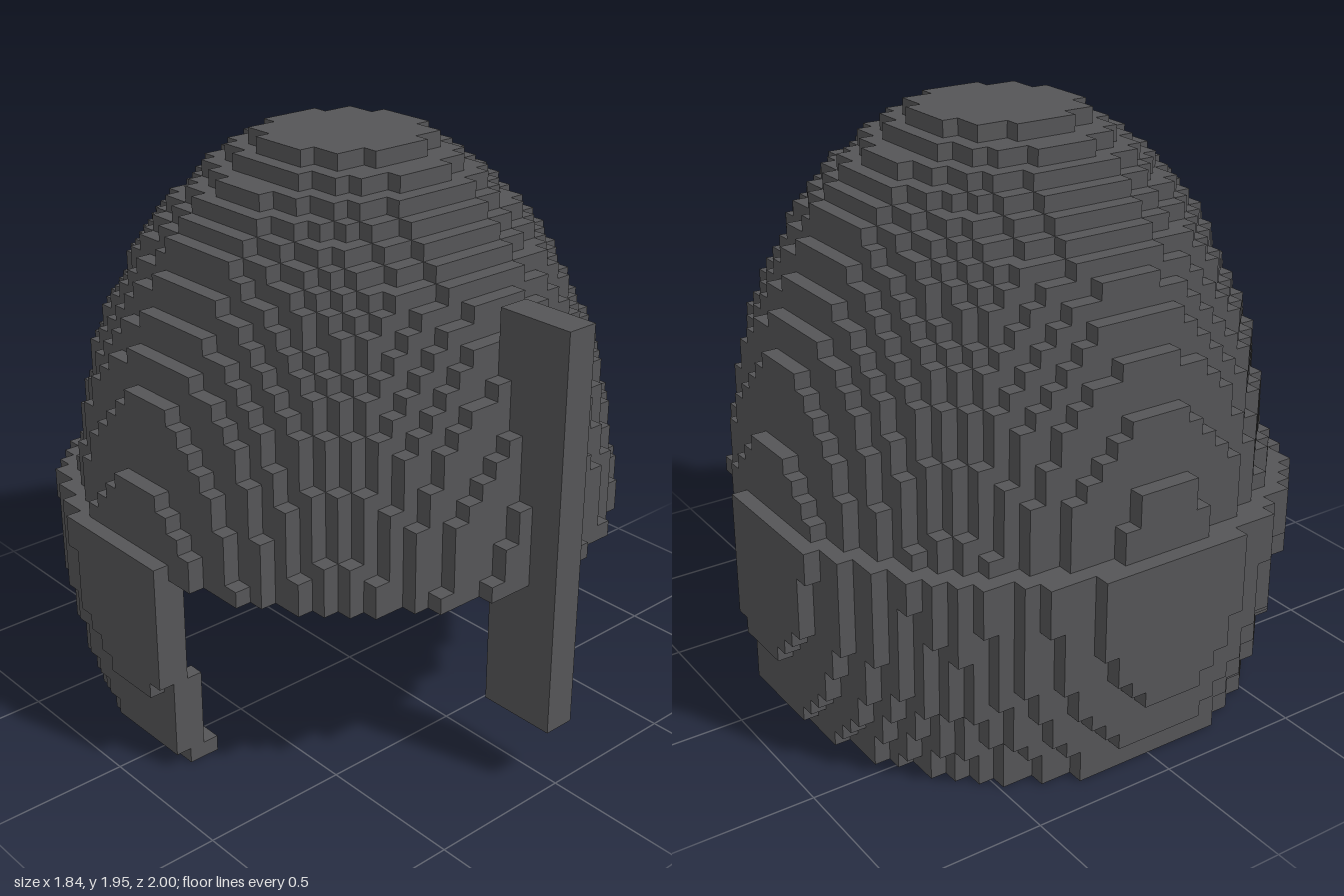
import * as THREE from 'three';

const V = 2 / 37; // edge of one block
const ZC = -V / 2; // centre line of the shell in z

// Radii of the shell in blocks: [height, radius in x, radius in z]
const DOME = [
  [13, 16.3, 16.95], [18, 15.52, 16.53], [22, 14.75, 15.52], [23, 14.52, 15.2],
  [25, 13.52, 14.52], [27, 12.52, 13.52], [29, 11.52, 12.52], [30, 11.05, 11.52],
  [31, 10.52, 10.52], [32, 9.52, 9.52], [33, 8.52, 8.52], [34, 7, 7.52],
  [35, 5.55, 6.05], [36, 4.1, 4.1],
];
const GUARD = [
  [0, 15.2, 16.1], [1, 15.53, 16.3], [2, 15.85, 16.55], [5, 16.55, 17.55],
  [9, 17.1, 18.15], [13, 17.35, 18.4], [14, 17.35, 18.4],
];

function radii(profile, y) {
  let i = 0;
  while (i < profile.length - 2 && y > profile[i + 1][0]) i++;
  const [p, q] = [profile[i], profile[i + 1]];
  const t = Math.min(1, (y - p[0]) / (q[0] - p[0]));
  return [p[1] + (q[1] - p[1]) * t, p[2] + (q[2] - p[2]) * t];
}

function inside(x, z, [rx, rz]) {
  return rx > 0 && rz > 0 && (x / rx) ** 2 + (z / rz) ** 2 <= 1.003;
}

// True where a two-block-thick wall fills block (i, j, k)
function wall(profile, top, zEnd, capLayer) {
  const bottom = profile[0][0];
  return (i, j, k) => {
    if (j < bottom || j >= top || k >= zEnd) return false;
    const x = i + 0.5, y = j + 0.5, z = k + 0.5;
    const outer = radii(profile, y);
    if (!inside(x, z, outer)) return false;
    if (j >= capLayer) return true;
    const inner = outer.map((r) => r - 2);
    const above = radii(profile, Math.min(y + 1, top)).map((r) => r - 1);
    return !(inside(x, z, inner) && inside(x, z, above));
  };
}

// Draws only the exposed faces of the blocks
function blockGeometry(filled, yMin, yMax) {
  const pos = [], nor = [];
  const ring = [[0, 0], [1, 0], [1, 1], [0, 0], [1, 1], [0, 1]];
  for (let j = yMin; j < yMax; j++)
    for (let i = -19; i < 19; i++)
      for (let k = -19; k < 19; k++) {
        if (!filled(i, j, k)) continue;
        for (let a = 0; a < 3; a++)
          for (const s of [-1, 1]) {
            const n = [0, 0, 0];
            n[a] = s;
            if (filled(i + n[0], j + n[1], k + n[2])) continue;
            for (const [p, q] of ring) {
              const c = [i, j, k];
              c[a] += s > 0 ? 1 : 0;
              c[(a + 1) % 3] += s > 0 ? p : q;
              c[(a + 2) % 3] += s > 0 ? q : p;
              pos.push(c[0] * V, c[1] * V, c[2] * V + ZC);
              nor.push(...n);
            }
          }
      }
  const g = new THREE.BufferGeometry();
  g.setAttribute('position', new THREE.Float32BufferAttribute(pos, 3));
  g.setAttribute('normal', new THREE.Float32BufferAttribute(nor, 3));
  return g;
}

export function createModel() {
  const group = new THREE.Group();
  group.name = 'helmet';
  const steel = new THREE.MeshStandardMaterial({ color: 0x555557 });
  steel.name = 'dark steel';

  const add = (name, geometry) => {
    const mesh = new THREE.Mesh(geometry, steel);
    mesh.name = name;
    group.add(mesh);
    return mesh;
  };

  // Hollow stepped dome
  add('dome', blockGeometry(wall(DOME, 36, 99, 34), 13, 36));

  // Wider band round the cheeks and neck, open at the face
  add('neckGuard', blockGeometry(wall(GUARD, 14, 3, 99), 0, 14));

  // Upright bar in front of the face
  const bar = add('noseBar', new THREE.BoxGeometry(2 * V, 25 * V, 5 * V));
  bar.position.set(0, 16.5 * V, 1 - 2.5 * V);

  return group;
}
